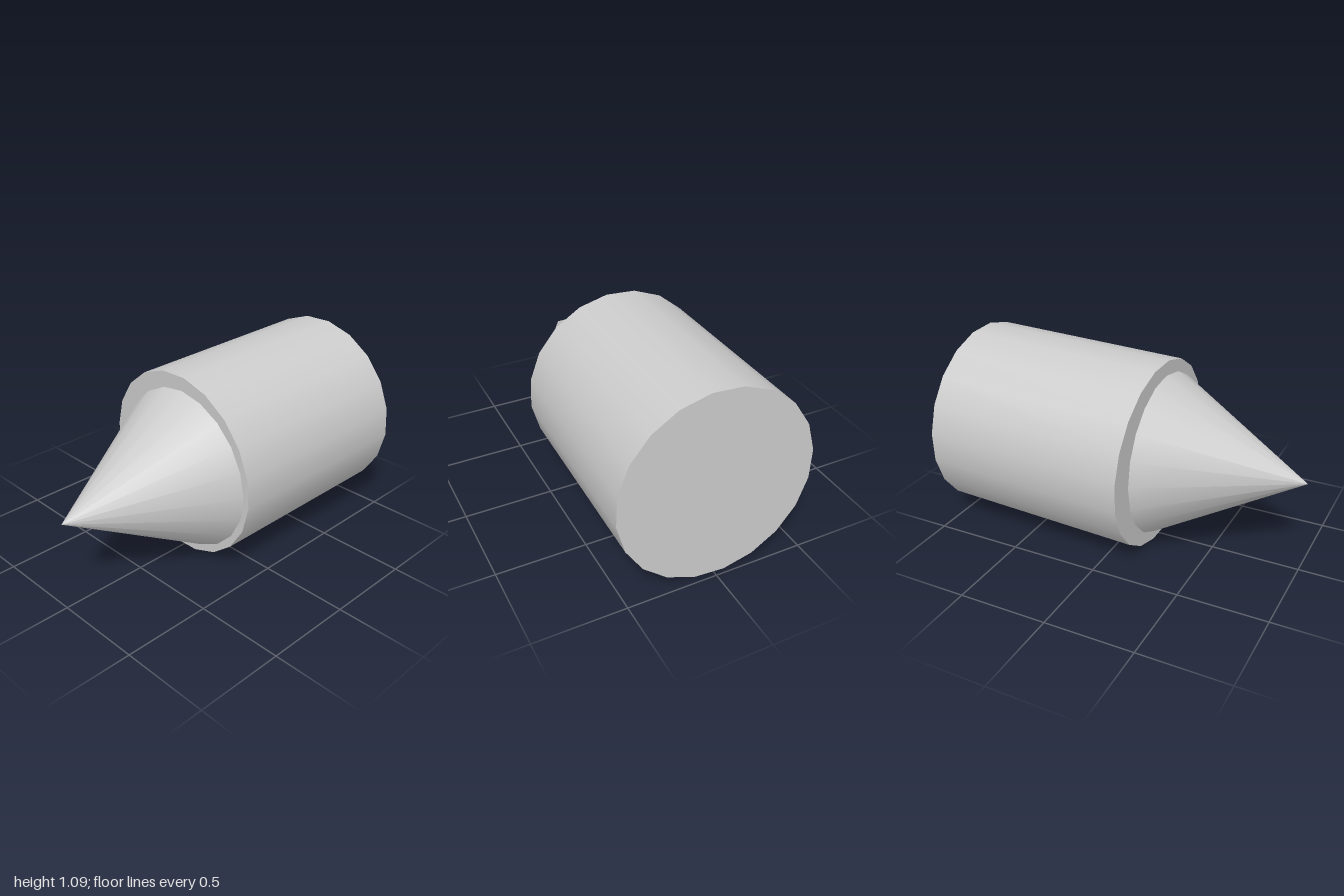
import * as THREE from 'three';

const Z = new THREE.Vector3(0, 0, 1);

// Solid 20-sided tapered or straight part whose axis runs from back to front
function axialPart(name, back, front, backRadius, frontRadius, roll) {
  const axis = front.clone().sub(back);
  const geometry = new THREE.CylinderGeometry(
    frontRadius, backRadius, axis.length(), 20, 1, false, THREE.MathUtils.degToRad(roll));
  geometry.rotateX(Math.PI / 2);
  const mesh = new THREE.Mesh(geometry, new THREE.MeshStandardMaterial({ color: 0xcccccc }));
  mesh.name = name;
  mesh.quaternion.setFromUnitVectors(Z, axis.normalize());
  mesh.position.copy(back).add(front).multiplyScalar(0.5);
  return mesh;
}

export function createModel() {
  const group = new THREE.Group();
  group.name = 'pointedCylinder';

  // Main body, tilted slightly off the nose axis
  group.add(axialPart('body',
    new THREE.Vector3(0.013, 0.561, -0.983), new THREE.Vector3(-0.017, 0.534, 0.178),
    0.534, 0.534, 12));

  // Pointed nose
  group.add(axialPart('nose',
    new THREE.Vector3(0.02, 0.526, 0.187), new THREE.Vector3(0.02, 0.526, 1),
    0.46, 0, 0));

  return group;
}
